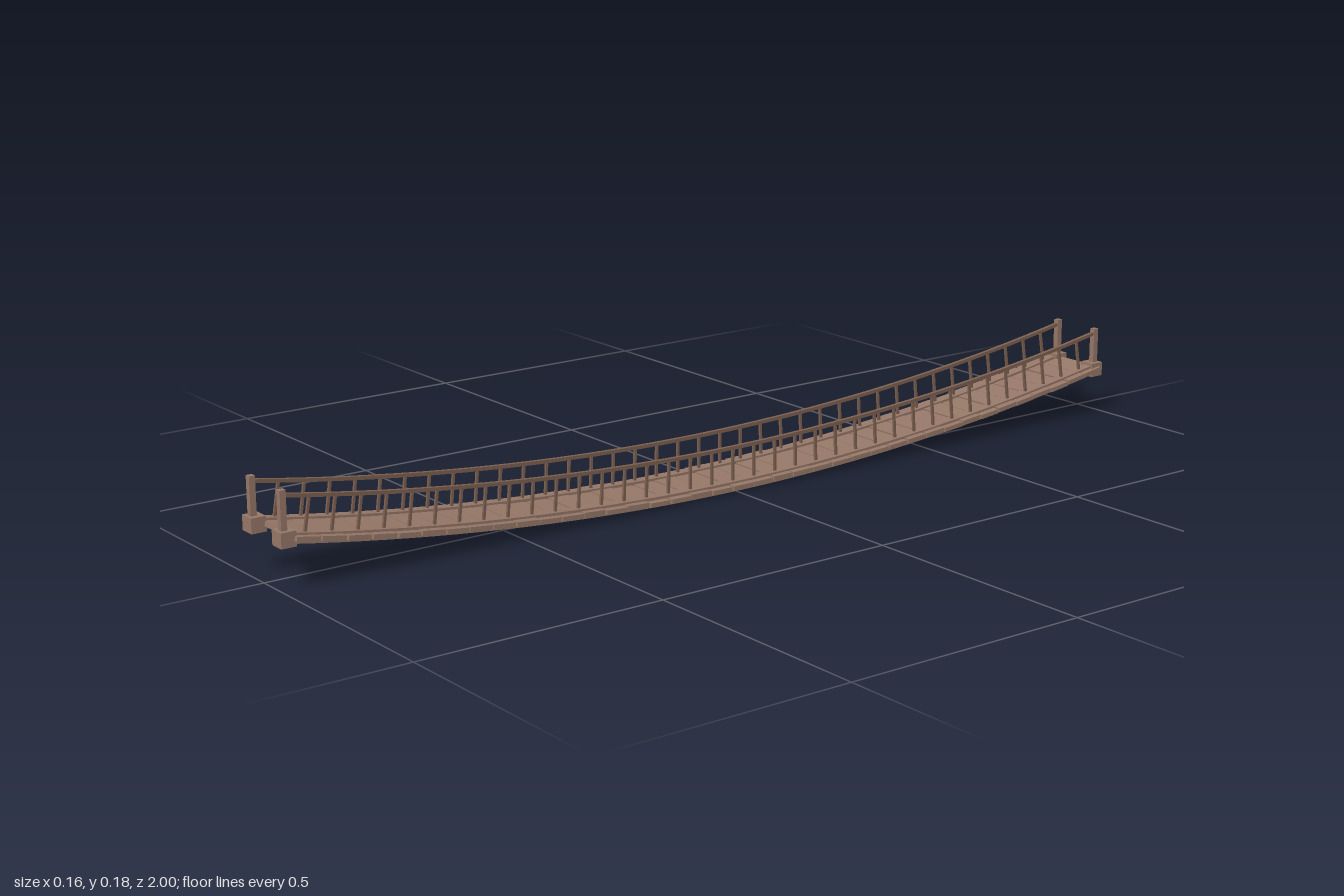
import * as THREE from 'three';

const wood = new THREE.MeshStandardMaterial({ color: 0x967868 });
const rope = new THREE.MeshStandardMaterial({ color: 0x7d6050 });

// Sagging curve shared by deck, beams and handrails
const SAG = 0.088;
const sagY = (z) => SAG * z * z;
const slope = (z) => Math.atan(2 * SAG * z);

// Small seeded generator for plank irregularity
let seed = 7;
const rnd = () => {
  seed = (seed * 16807) % 2147483647;
  return seed / 2147483647 - 0.5;
};

function box(name, w, h, d, x, y, z, tilt = 0, mat = wood) {
  const mesh = new THREE.Mesh(new THREE.BoxGeometry(w, h, d), mat);
  mesh.name = name;
  mesh.position.set(x, y, z);
  mesh.rotation.x = -tilt;
  return mesh;
}

// Box bent along the sag curve
function bentBar(name, w, h, x, y, zEnd, mat) {
  const geo = new THREE.BoxGeometry(w, h, zEnd * 2, 1, 1, 40);
  const p = geo.attributes.position;
  for (let i = 0; i < p.count; i++) p.setY(i, p.getY(i) + sagY(p.getZ(i)));
  geo.computeVertexNormals();
  const mesh = new THREE.Mesh(geo, mat);
  mesh.name = name;
  mesh.position.set(x, y, 0);
  return mesh;
}

export function createModel() {
  const bridge = new THREE.Group();
  bridge.name = 'ropeBridge';

  // Deck planks, slightly uneven
  const deck = new THREE.Group();
  deck.name = 'deck';
  const count = 39;
  const pitch = 1.965 / count;
  for (let i = 0; i < count; i++) {
    const z = -0.99 + (i + 0.5) * pitch;
    const plank = box('plank', 0.159 + rnd() * 0.006, 0.009, pitch - 0.003 + rnd() * 0.004,
      rnd() * 0.002, 0.011 + sagY(z) + rnd() * 0.002, z, slope(z));
    plank.rotation.y = rnd() * 0.01;
    deck.add(plank);
  }
  bridge.add(deck);

  for (const side of [-1, 1]) {
    const x = side * 0.055;
    const half = new THREE.Group();
    half.name = side > 0 ? 'leftSide' : 'rightSide';

    // Side beam through the deck and handrail above
    half.add(bentBar('sideBeam', 0.021, 0.02, x, 0.01, 0.985, wood));
    half.add(bentBar('handrail', 0.008, 0.007, x, 0.086, 0.985, rope));

    // Balusters, square to the curve
    const n = 37;
    for (let i = 0; i < n; i++) {
      const z = -0.945 + (1.89 * i) / (n - 1);
      const a = slope(z);
      half.add(box('baluster', 0.005, 0.07, 0.005,
        x, 0.052 + sagY(z), z - Math.sin(a) * 0.035, a, rope));
    }

    // End blocks and posts
    for (const end of [-1, 1]) {
      half.add(box('endBlock', 0.033, 0.029, 0.03, side * 0.054, 0.094, end * 0.985));
      half.add(box('endPost', 0.012, 0.078, 0.012, x, 0.143, end * 0.988));
    }
    bridge.add(half);
  }
  return bridge;
}
